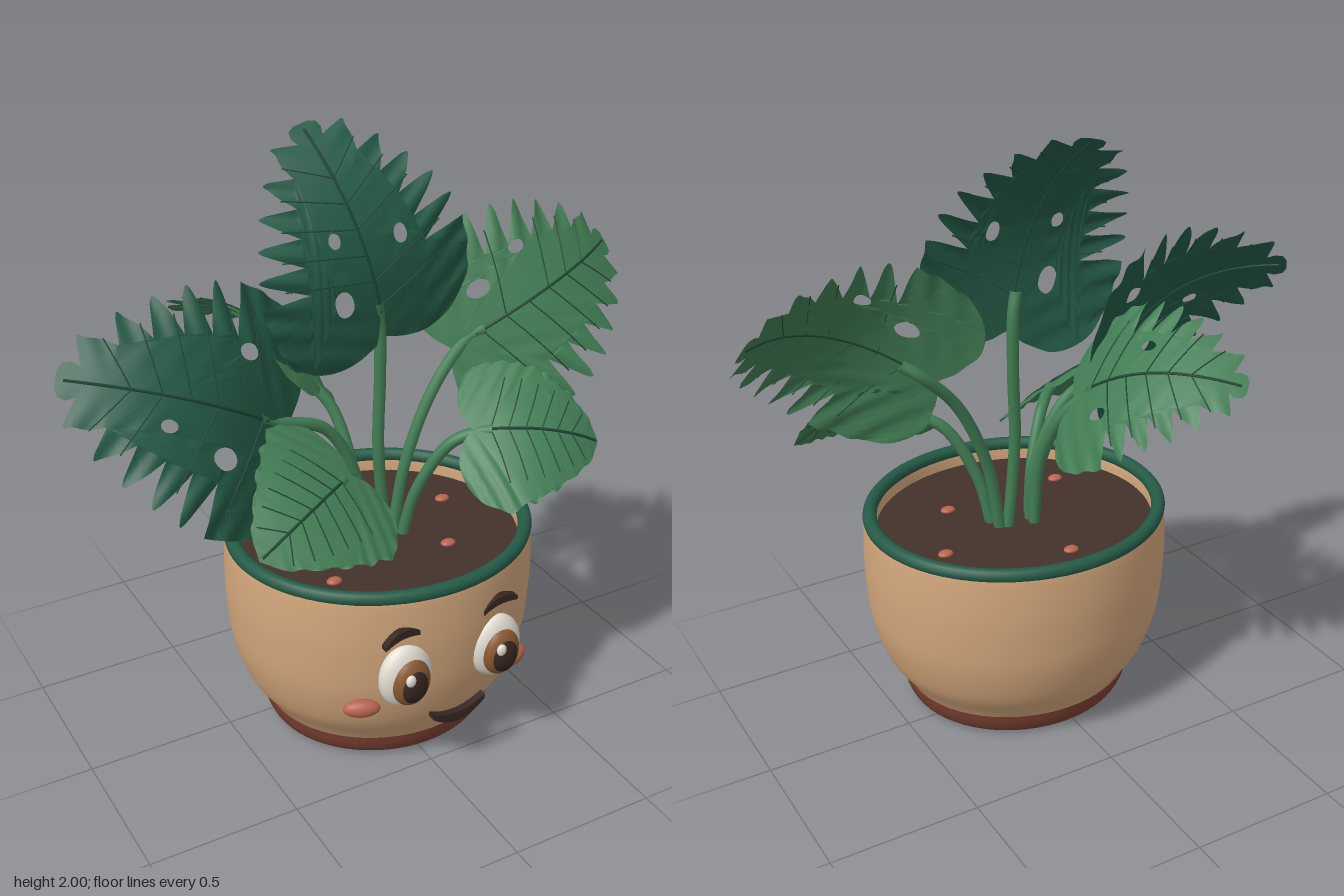
import * as THREE from 'three';
import { mergeVertices, mergeGeometries } from 'three/addons/utils/BufferGeometryUtils.js';

const V2 = (x, y) => new THREE.Vector2(x, y);
const V3 = (a) => new THREE.Vector3(...a);

function mat(name, color, double = false) {
  const m = new THREE.MeshStandardMaterial({ color });
  m.name = name;
  if (double) m.side = THREE.DoubleSide;
  return m;
}

function add(parent, name, geometry, material, pos = [0, 0, 0], scale = [1, 1, 1]) {
  const m = new THREE.Mesh(geometry, material);
  m.name = name;
  m.position.set(...pos);
  m.scale.set(...scale);
  parent.add(m);
  return m;
}

const lathe = (pts) => new THREE.LatheGeometry(new THREE.SplineCurve(pts.map((p) => V2(...p))).getPoints(60), 64);

// Half width of a leaf along its length (both relative to the length)
const halfWidth = (u) => 0.58 * Math.pow(Math.max(0, 1 - Math.pow(Math.max(0, (u - 0.15) / 0.9), 1.7)), 0.8);

// One side of the leaf edge, from the stem notch to the tip
function leafSide(split) {
  if (!split) {
    const p = [[-0.1, 0], [-0.18, 0.12], [-0.2, 0.3], [-0.14, 0.5], [0, 0.64], [0.12, 0.69]];
    for (let i = 0; i < 9; i++) {
      const u = 0.2 + i * 0.088;
      p.push([u, halfWidth(u) * (1.27 - 0.3 * u) * (i % 2 ? 0.95 : 1.02)]);
    }
    p.push([1, 0]);
    return new THREE.SplineCurve(p.map((q) => V2(...q))).getPoints(50);
  }
  // Smooth lobe, then pointed fingers between narrow slits
  const lobe = [[-0.13, 0], [-0.18, 0.12], [-0.2, 0.27], [-0.15, 0.42], [-0.03, 0.53], [0.12, 0.57], [0.27, 0.58]];
  const pts = new THREE.SplineCurve(lobe.map((q) => V2(...q))).getPoints(30);
  for (let i = 0; i < 5; i++) {
    const u = 0.24 + i * 0.135;
    const finger = [[u, halfWidth(u) * 0.58], [u + 0.075, halfWidth(u + 0.07) * 0.8], [u + 0.13, halfWidth(u + 0.12) * 0.97],
      [u + 0.162, halfWidth(u + 0.12) * 1.02], [u + 0.165, halfWidth(u + 0.12) * 0.92]];
    pts.push(...new THREE.SplineCurve(finger.map((q) => V2(...q))).getPoints(10));
  }
  pts.push(V2(0.915, 0.07), V2(0.95, 0.085), V2(0.985, 0.075), V2(1, 0.04), V2(1, 0));
  return pts;
}

// Split every triangle in four so that the flat blade can bend
function subdivide(tris) {
  const out = [];
  const mid = (a, b) => a.clone().add(b).multiplyScalar(0.5);
  for (const [a, b, c] of tris) {
    const d = mid(a, b), e = mid(b, c), f = mid(c, a);
    out.push([a, d, f], [d, b, e], [f, e, c], [d, e, f]);
  }
  return out;
}

function makeLeaf(o, blade, veinMat, stemMat) {
  const g = new THREE.Group();
  g.name = o.name;
  const base = V3(o.base), tip = V3(o.tip);
  const L = base.distanceTo(tip);
  const e1 = tip.clone().sub(base).normalize();
  const e3 = V3(o.normal);
  e3.addScaledVector(e1, -e3.dot(e1)).normalize();
  const e2 = e3.clone().cross(e1);
  // Bends a flat leaf point into place
  const place = (u, v, lift = 0) => {
    const wave = 0.011 * Math.cos((u - 0.5 * Math.abs(v)) * 46) * Math.min(1, Math.abs(v) * 2.5);
    const w = o.arch * 4 * u * (1 - u) * (u < 0 ? 0.8 : 1) - o.cup * v * v + wave;
    return base.clone().addScaledVector(e1, u * L).addScaledVector(e2, v * L).addScaledVector(e3, w * L + lift);
  };

  // Blade
  const side = leafSide(o.split);
  const other = side.slice(1, -1).reverse().map((p) => V2(p.x, -p.y));
  const shape = new THREE.Shape([...side, ...other]);
  for (const [u, v, r] of o.holes || []) {
    shape.holes.push(new THREE.Path().absellipse(u, v, r * 1.1, r * 0.85, 0, Math.PI * 2, true, 0));
  }
  const flat = new THREE.ShapeGeometry(shape, 10).toNonIndexed().attributes.position;
  let tris = [];
  for (let i = 0; i < flat.count; i += 3) {
    tris.push([0, 1, 2].map((k) => V2(flat.getX(i + k), flat.getY(i + k))));
  }
  for (let i = 0; i < 3; i++) tris = subdivide(tris);
  let geo = new THREE.BufferGeometry().setFromPoints(tris.flat().map((p) => place(p.x, p.y)));
  geo = mergeVertices(geo, 1e-5);
  geo.computeVertexNormals();
  add(g, 'leafBlade', geo, blade);

  // Midrib and side veins
  const tube = (f, r, n) => {
    const pts = Array.from({ length: 9 }, (_, i) => f(i / 8));
    return new THREE.TubeGeometry(new THREE.CatmullRomCurve3(pts), n, r, 5);
  };
  const veins = [tube((t) => place(t * 0.97, 0, 0.001), 0.005, 24)];
  for (const s of [-1, 1]) {
    for (let i = 0; i < 6; i++) {
      const u = 0.03 + i * 0.135;
      const reach = halfWidth(u + 0.14) * 0.8;
      const hit = (o.holes || []).some(([hu, hv, r]) => hv * s > 0 && Math.abs(u + 0.14 * Math.abs(hv) / reach - hu) < r * 1.2);
      if (!hit) veins.push(tube((t) => place(u + 0.14 * t, s * reach * t, 0.001), 0.0022, 16));
    }
  }
  add(g, 'leafVeins', mergeGeometries(veins), veinMat);

  // Stem, joining the blade from behind
  const path = new THREE.CatmullRomCurve3([...o.stem.map(V3), place(-0.03, 0, -0.02), place(0.06, 0, -0.014)]);
  add(g, 'stem', new THREE.TubeGeometry(path, 32, 0.02, 10), stemMat);
  return g;
}

// Thin curved stroke, thick in the middle, for brows and mouth
function stroke(a, c, b, thick) {
  const s = new THREE.Shape();
  s.moveTo(a[0], a[1] + thick * 0.35);
  s.quadraticCurveTo(c[0], c[1] + thick, b[0], b[1] + thick * 0.35);
  s.lineTo(b[0], b[1] - thick * 0.35);
  s.quadraticCurveTo(c[0], c[1] - thick, a[0], a[1] - thick * 0.35);
  return new THREE.ExtrudeGeometry(s, { depth: 0.025, bevelEnabled: false, curveSegments: 16 });
}

export function createModel() {
  const model = new THREE.Group();
  model.name = 'pottedPlant';
  const clay = mat('potClay', 0xd3a77c, true);
  const darkGreen = mat('darkGreen', 0x245a46, true);
  const lightGreen = mat('lightGreen', 0x427d54, true);
  const veinGreen = mat('veinGreen', 0x1f4834);
  const footRed = mat('footRed', 0x7a4032, true);
  const blush = mat('blush', 0xb8644f);
  const soilBrown = mat('soilBrown', 0x44312a);
  const eyeWhite = mat('eyeWhite', 0xe4ded2);
  const irisBrown = mat('irisBrown', 0x8a5a34);
  const dark = mat('darkBrown', 0x35261f);

  // Pot, slightly oval
  const pot = new THREE.Group();
  pot.name = 'pot';
  pot.position.set(0.035, 0, 0.08);
  pot.scale.z = 0.92;
  model.add(pot);
  add(pot, 'potBody', lathe([[0.393, 0.075], [0.412, 0.105], [0.46, 0.175], [0.49, 0.25], [0.512, 0.34], [0.522, 0.45],
    [0.525, 0.55], [0.518, 0.68], [0.5, 0.7], [0.482, 0.68], [0.478, 0.6]]), clay);
  add(pot, 'potFoot', lathe([[0.1, 0.09], [0.1, 0.06], [0.13, 0.04], [0.22, 0.035], [0.31, 0.008],
    [0.35, 0], [0.378, 0.012], [0.396, 0.045], [0.406, 0.085]]), footRed);
  add(pot, 'drainPlate', new THREE.CircleGeometry(0.11, 32).rotateX(Math.PI / 2), clay, [0, 0.075, 0]);
  add(pot, 'rim', new THREE.TorusGeometry(0.498, 0.024, 14, 80).rotateX(Math.PI / 2), darkGreen, [0, 0.69, 0]);
  add(pot, 'soil', new THREE.CircleGeometry(0.485, 64).rotateX(-Math.PI / 2), soilBrown, [0, 0.635, 0]);

  const ball = new THREE.SphereGeometry(1, 28, 18);
  for (const [x, z] of [[-0.23, 0.26], [0.35, -0.02], [0.21, 0.24], [-0.02, -0.2]]) {
    add(model, 'pebble', ball, blush, [x, 0.637, z], [0.026, 0.012, 0.02]);
  }

  // Face
  const face = new THREE.Group();
  face.name = 'face';
  model.add(face);
  for (const s of [-1, 1]) {
    const eye = new THREE.Group();
    eye.name = s > 0 ? 'leftEye' : 'rightEye';
    eye.position.set(0.038 + s * 0.168, 0.415, 0.537);
    face.add(eye);
    add(eye, 'eyeball', ball, eyeWhite, [0, 0, 0], [0.093, 0.113, 0.05]);
    add(eye, 'iris', ball, irisBrown, [0.002, -0.007, 0.034], [0.067, 0.083, 0.038]);
    add(eye, 'pupil', ball, dark, [0.002, -0.01, 0.047], [0.05, 0.064, 0.036]);
    add(eye, 'eyeGlint', ball, eyeWhite, [-0.02, 0.026, 0.07], [0.017, 0.021, 0.012]);
    const cheek = add(face, 'cheek', ball, blush, [0.035 + s * 0.29, 0.293, 0.482], [0.06, 0.03, 0.028]);
    cheek.rotation.y = s * 0.4;
  }
  add(face, 'rightBrow', stroke([-0.21, 0.546], [-0.155, 0.6], [-0.088, 0.57], 0.021), dark, [0, 0, 0.53]);
  add(face, 'leftBrow', stroke([0.15, 0.56], [0.2, 0.61], [0.275, 0.583], 0.021), dark, [0, 0, 0.53]);
  add(face, 'mouth', stroke([-0.053, 0.25], [0.045, 0.187], [0.142, 0.265], 0.025), dark, [0, 0, 0.563]);

  // Leaves
  const leaves = [
    { name: 'topLeaf', base: [0.05, 1.43, 0.06], tip: [-0.1, 1.99, -0.18], normal: [0, 0, 1], arch: 0.15, cup: 0.15,
      split: true, holes: [[0.12, 0.18, 0.06], [0.43, 0.13, 0.036], [0.33, -0.21, 0.045]],
      stem: [[0.08, 0.6, 0.05], [0.05, 0.95, 0.05], [0.06, 1.2, 0.04]] },
    { name: 'rightLeaf', base: [-0.36, 1.16, 0.08], tip: [-0.98, 1.4, -0.03], normal: [-0.05, 0.5, 0.87], arch: 0.17, cup: 0.1,
      split: true, holes: [[0.52, 0.13, 0.035], [0.22, 0.22, 0.06], [0.17, -0.28, 0.045]],
      stem: [[-0.01, 0.6, 0.06], [-0.03, 0.85, 0.05], [-0.14, 1.06, 0.04]] },
    { name: 'leftLeaf', base: [0.41, 1.28, 0.06], tip: [0.98, 1.48, -0.03], normal: [0.05, 0.5, 0.87], arch: 0.17, cup: 0.1,
      split: true, light: true, holes: [[0.4, 0.28, 0.04], [0.12, 0.2, 0.055]],
      stem: [[0.1, 0.6, 0.06], [0.15, 0.88, 0.06], [0.26, 1.12, 0.05]] },
    { name: 'backLeaf', base: [-0.1, 1.18, -0.16], tip: [-0.39, 1.29, -0.6], normal: [0.55, 0.8, -0.2], arch: 0.16, cup: 0.2,
      split: true, light: true, holes: [[0.4, 0.2, 0.04], [0.15, -0.22, 0.05]],
      stem: [[-0.01, 0.6, 0.03], [-0.02, 0.85, 0.01], [-0.05, 1.06, -0.08]] },
    { name: 'smallRightLeaf', base: [-0.2, 1.0, 0.27], tip: [-0.55, 0.88, 0.39], normal: [0, 0.72, 0.7], arch: 0.13, cup: 0.12,
      light: true, stem: [[-0.03, 0.6, 0.1], [-0.06, 0.8, 0.13], [-0.13, 0.95, 0.19]] },
    { name: 'smallLeftLeaf', base: [0.33, 1.04, 0.26], tip: [0.7, 0.95, 0.37], normal: [0, 0.72, 0.7], arch: 0.13, cup: 0.12,
      light: true, stem: [[0.11, 0.6, 0.1], [0.15, 0.8, 0.13], [0.24, 0.98, 0.19]] },
  ];
  for (const o of leaves) model.add(makeLeaf(o, o.light ? lightGreen : darkGreen, veinGreen, lightGreen));
  return model;
}
